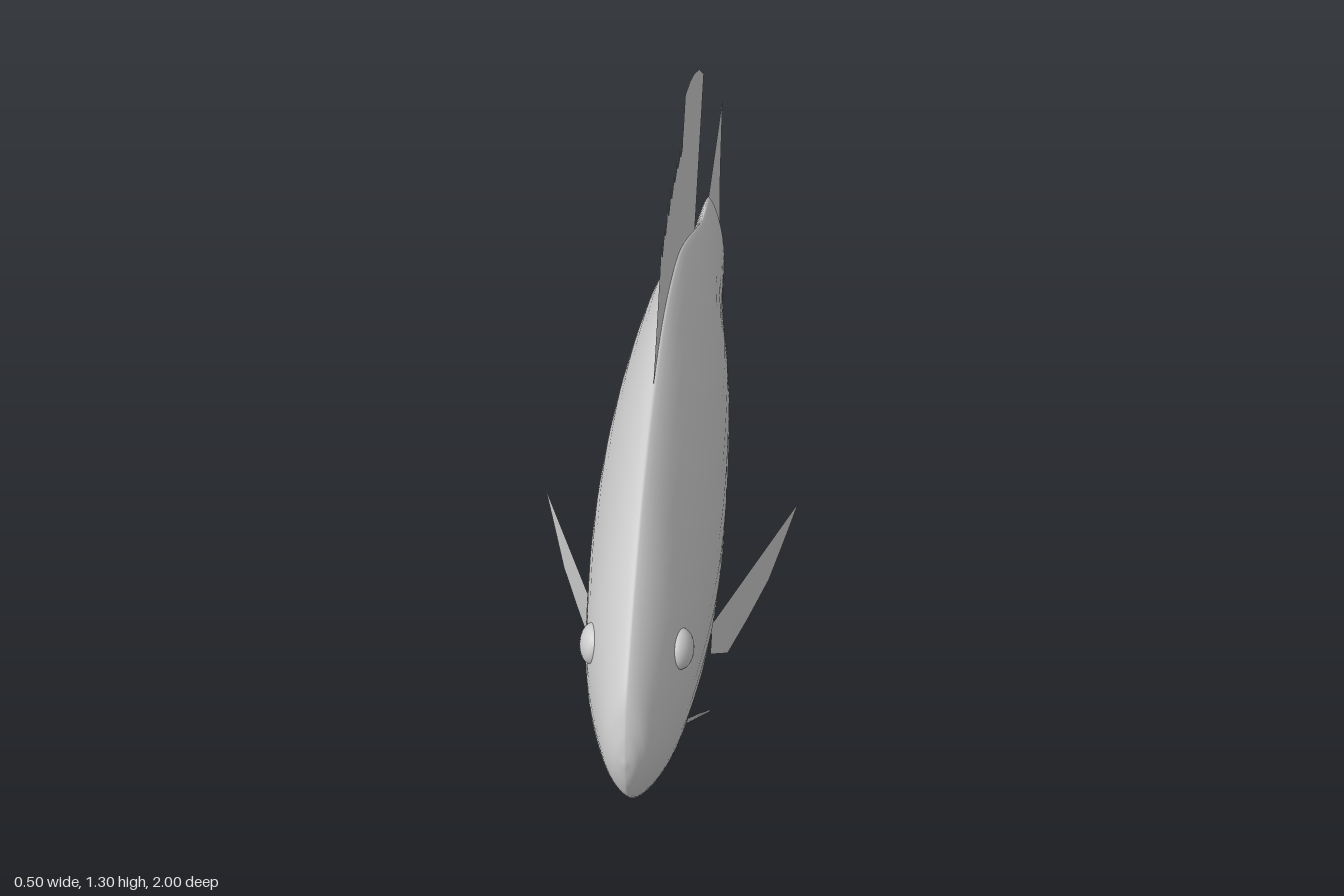
import * as THREE from 'three';
import { mergeVertices } from 'three/addons/utils/BufferGeometryUtils.js';

const grey = new THREE.MeshStandardMaterial({ color: 0xcccccc, side: THREE.DoubleSide });
grey.name = 'plain grey';

// Body stations from nose to tail: z, top y, bottom y, half width
const STATIONS = [
  [1, 0.605, 0.605, 0], [0.987, 0.675, 0.54, 0.024], [0.947, 0.755, 0.482, 0.05],
  [0.81, 0.892, 0.36, 0.088], [0.68, 0.98, 0.288, 0.105], [0.5, 1.05, 0.228, 0.117],
  [0.315, 1.08, 0.207, 0.116], [0.1, 1.055, 0.227, 0.105], [-0.07, 0.997, 0.272, 0.092],
  [-0.31, 0.885, 0.338, 0.063], [-0.47, 0.812, 0.39, 0.047], [-0.64, 0.77, 0.43, 0.036],
];

function bodyGeometry() {
  const outline = new THREE.CatmullRomCurve3(
    STATIONS.map(([z, t, b]) => new THREE.Vector3(z, t, b)), false, 'catmullrom');
  const widths = new THREE.CatmullRomCurve3(
    STATIONS.map(([, , , w]) => new THREE.Vector3(w, 0, 0)), false, 'catmullrom');
  const rings = 66, sides = 48, pos = [], index = [];
  for (let i = 0; i <= rings; i++) {
    const { x: z, y: top, z: bottom } = outline.getPoint(i / rings);
    const w = Math.max(0, widths.getPoint(i / rings).x);
    for (let j = 0; j < sides; j++) {
      const a = (j / sides) * Math.PI * 2, c = Math.cos(a);
      // lens-like section, narrow along the back and belly
      pos.push(w * Math.sign(c) * Math.abs(c) ** 1.5,
        (top + bottom) / 2 + ((top - bottom) / 2) * Math.sin(a), z);
    }
  }
  for (let i = 0; i < rings; i++) {
    for (let j = 0; j < sides; j++) {
      const a = i * sides + j, b = i * sides + (j + 1) % sides;
      const c = a + sides, d = b + sides;
      if (i > 0) index.push(a, c, b);
      else index.push(a, c, d);
      if (i > 0) index.push(b, c, d);
    }
  }
  const g = new THREE.BufferGeometry();
  g.setAttribute('position', new THREE.Float32BufferAttribute(pos, 3));
  g.setIndex(index);
  const merged = mergeVertices(g);
  merged.computeVertexNormals();
  return merged;
}

// Flat cap closing the tail root
function capGeometry() {
  const [z, top, bottom, w] = STATIONS[STATIONS.length - 1];
  const points = [];
  for (let j = 0; j < 48; j++) {
    const a = (j / 48) * Math.PI * 2, c = Math.cos(a);
    points.push(new THREE.Vector2(w * Math.sign(c) * Math.abs(c) ** 1.5,
      (top + bottom) / 2 + ((top - bottom) / 2) * Math.sin(a)));
  }
  return new THREE.ShapeGeometry(new THREE.Shape(points)).rotateY(Math.PI).translate(0, 0, z);
}

// Fin in the middle plane from (z, y) points
function medianFin(points) {
  const shape = new THREE.Shape(points.map(([z, y]) => new THREE.Vector2(z, y)));
  return new THREE.ShapeGeometry(shape).rotateY(-Math.PI / 2);
}

// Side fin as a fan of corners, mirrored by side
function sideFin(corners, side) {
  const g = new THREE.BufferGeometry();
  g.setAttribute('position', new THREE.Float32BufferAttribute(
    corners.flatMap(([x, y, z]) => [x * side, y, z]), 3));
  const index = [];
  for (let i = 1; i < corners.length - 1; i++) {
    index.push(0, ...(side > 0 ? [i, i + 1] : [i + 1, i]));
  }
  g.setIndex(index);
  g.computeVertexNormals();
  return g;
}

export function createModel() {
  const fish = new THREE.Group();
  fish.name = 'fish';
  const add = (name, geometry) => {
    const mesh = new THREE.Mesh(geometry, grey);
    mesh.name = name;
    fish.add(mesh);
    return mesh;
  };

  add('body', bodyGeometry());
  add('tailRoot', capGeometry());

  // Spiny front dorsal fin with backward-leaning teeth
  const spiny = [[0.45, 1.0], [0.503, 1.05], [0.385, 1.205]];
  const teeth = 8;
  for (let i = 0; i < teeth; i++) {
    const z = 0.355 - i * 0.058, lift = 0.02 * Math.sin((i / (teeth - 1)) * Math.PI);
    const tip = 1.26 + lift;
    spiny.push([z + 0.018, tip - 0.035], [z, tip], [z + 0.002, tip - 0.022], [z - 0.012, tip - 0.044]);
  }
  spiny.push([0.1, 1.05], [0.12, 0.98]);
  add('spinyDorsalFin', medianFin(spiny));

  add('softDorsalFin', medianFin([
    [0.1, 1.0], [0.1, 1.055], [-0.095, 1.307], [-0.19, 1.286], [-0.29, 1.252],
    [-0.4, 1.203], [-0.5, 1.14], [-0.305, 0.888], [-0.28, 0.83]]));
  add('analFin', medianFin([
    [0.08, 0.3], [0.1, 0.228], [-0.07, 0.003], [-0.2, 0.032], [-0.34, 0.07],
    [-0.48, 0.12], [-0.305, 0.34], [-0.28, 0.4]]));
  add('tailFin', medianFin([
    [-0.63, 0.77], [-1, 0.817], [-0.96, 0.67], [-0.947, 0.6], [-0.96, 0.525],
    [-1, 0.382], [-0.63, 0.43]]));

  for (const [label, side] of [['left', 1], ['right', -1]]) {
    add(label + 'PectoralFin', sideFin([
      [0.108, 0.527, 0.512], [0.105, 0.452, 0.51], [0.132, 0.393, 0.433],
      [0.165, 0.425, 0.365], [0.2, 0.468, 0.295], [0.225, 0.52, 0.235],
      [0.248, 0.575, 0.185]], side));
    add(label + 'PelvicFin', sideFin([
      [0.022, 0.222, 0.48], [0.045, 0.175, 0.4], [0.095, 0.128, 0.295],
      [0.089, 0.165, 0.34], [0.075, 0.195, 0.385], [0.053, 0.221, 0.435]], side));
    const eye = add(label + 'Eye', new THREE.SphereGeometry(0.037, 24, 16));
    eye.scale.x = 0.6;
    eye.position.set(side * 0.077, 0.71, 0.808);
    eye.rotation.set(0, side * -0.2, side * 0.15);
  }
  return fish;
}
